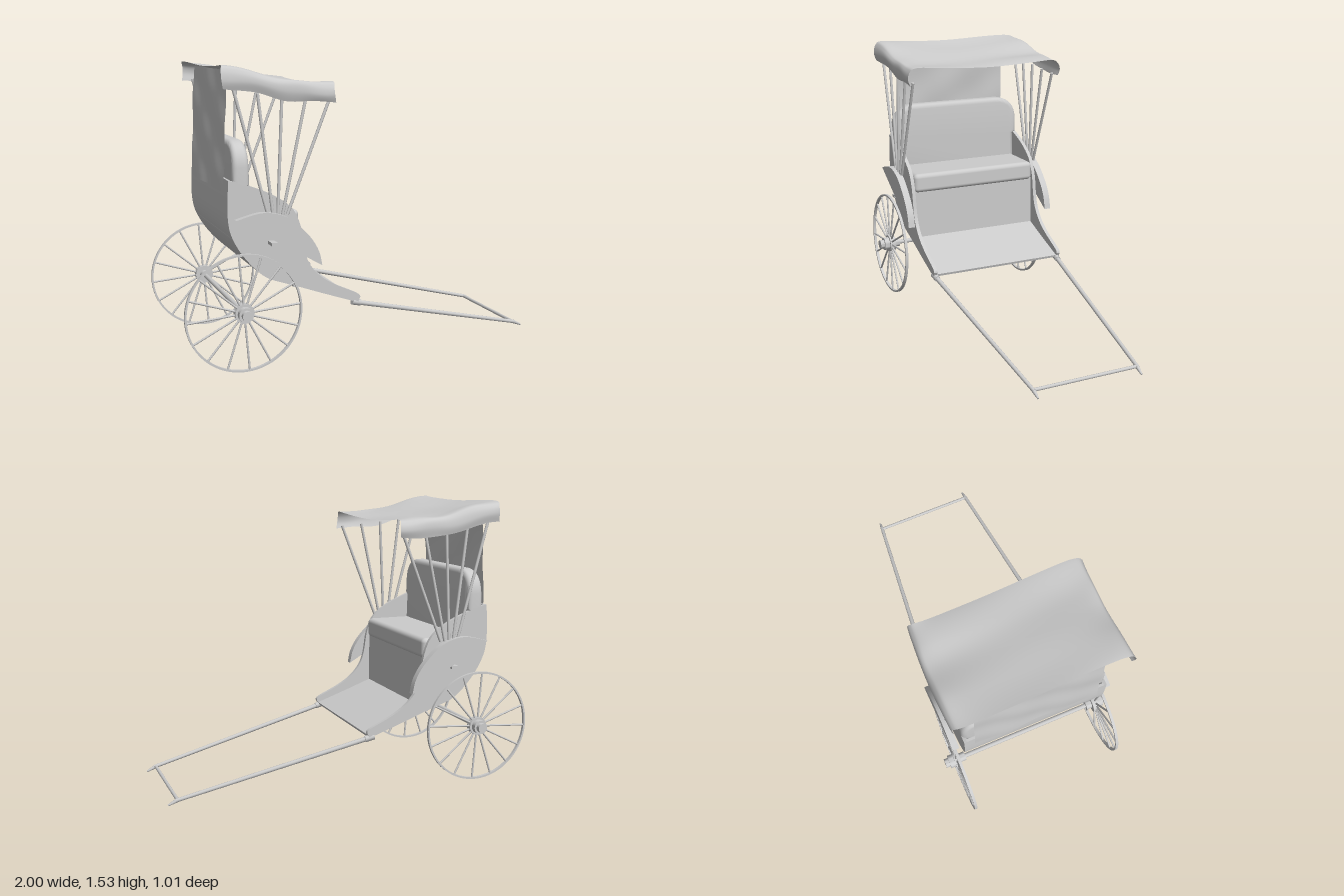
import * as THREE from 'three';
import { RoundedBoxGeometry } from 'three/addons/geometries/RoundedBoxGeometry.js';
import { toCreasedNormals } from 'three/addons/utils/BufferGeometryUtils.js';

const material = new THREE.MeshStandardMaterial({ color: 0xcccccc });
const cloth = new THREE.MeshStandardMaterial({ color: 0xcccccc, side: THREE.DoubleSide });
const V2 = (p) => new THREE.Vector2(p[0], p[1]);

export function createModel() {
  const model = new THREE.Group();
  model.name = 'rickshaw';

  const add = (name, geometry, parent = model, mat = material) => {
    const mesh = new THREE.Mesh(geometry, mat);
    mesh.name = name;
    parent.add(mesh);
    return mesh;
  };
  // Round bar between two points
  const bar = (name, a, b, r, parent = model, r2 = r) => {
    const p = new THREE.Vector3(...a), q = new THREE.Vector3(...b);
    const mesh = add(name, new THREE.CylinderGeometry(r2, r, p.distanceTo(q), 10), parent);
    mesh.position.copy(p).add(q).multiplyScalar(0.5);
    mesh.quaternion.setFromUnitVectors(new THREE.Vector3(0, 1, 0), q.sub(p).normalize());
    return mesh;
  };
  // Flat slab in the x-y plane, centred on z
  const slab = (name, shape, thickness, z, parent = model) => {
    const geometry = new THREE.ExtrudeGeometry(shape, { depth: thickness, bevelEnabled: false, curveSegments: 48 });
    geometry.translate(0, 0, z - thickness / 2);
    return add(name, toCreasedNormals(geometry, 0.6), parent);
  };

  // Underside and front edge curves shared by the side panels and the floor
  const under = new THREE.SplineCurve([[-0.757, 0.97], [-0.762, 0.87], [-0.762, 0.77], [-0.745, 0.69], [-0.70, 0.605],
    [-0.64, 0.53], [-0.57, 0.468], [-0.49, 0.435], [-0.41, 0.408], [-0.25, 0.35], [-0.07, 0.288]].map(V2)).getPoints(40);
  const upper = new THREE.SplineCurve([[-0.056, 0.315], [-0.075, 0.338], [-0.205, 0.40], [-0.285, 0.455], [-0.34, 0.523],
    [-0.365, 0.60], [-0.385, 0.72], [-0.43, 0.815], [-0.525, 0.885], [-0.645, 0.937], [-0.73, 0.965]].map(V2)).getPoints(40);
  const panelShape = new THREE.Shape([...under, ...upper]);

  // Floor and back skin follow the underside
  const inner = under.map((p, i) => {
    const t = under[Math.min(i + 1, 40)].clone().sub(under[Math.max(i - 1, 0)]).normalize();
    return new THREE.Vector2(p.x - t.y * 0.014, p.y + t.x * 0.014);
  });
  slab('floorAndBack', new THREE.Shape([...under, ...inner.reverse()]), 0.77, 0);

  // Seat
  const seatFront = add('seatFront', new THREE.BoxGeometry(0.02, 0.3, 0.77));
  seatFront.position.set(-0.41, 0.55, 0);
  const seatBase = add('seatBase', new THREE.BoxGeometry(0.34, 0.02, 0.77));
  seatBase.position.set(-0.57, 0.685, 0);
  const cushion = add('seatCushion', new RoundedBoxGeometry(0.31, 0.11, 0.76, 4, 0.025));
  cushion.position.set(-0.54, 0.745, 0);

  // Backrest with rounded top corners, narrower between the side panels
  const rest = new THREE.Shape();
  rest.moveTo(-0.355, 0.75);
  rest.lineTo(0.355, 0.75);
  rest.lineTo(0.355, 0.94);
  rest.lineTo(0.375, 0.955);
  rest.lineTo(0.375, 1.03);
  rest.quadraticCurveTo(0.37, 1.135, 0.26, 1.135);
  rest.lineTo(-0.26, 1.135);
  rest.quadraticCurveTo(-0.37, 1.135, -0.375, 1.03);
  rest.lineTo(-0.375, 0.955);
  rest.lineTo(-0.355, 0.94);
  const restGeometry = new THREE.ExtrudeGeometry(rest, {
    depth: 0.04, bevelSize: 0.025, bevelThickness: 0.025, bevelSegments: 4, curveSegments: 12,
  });
  restGeometry.rotateY(Math.PI / 2).translate(-0.735, 0, 0);
  const rp = restGeometry.attributes.position;
  for (let i = 0; i < rp.count; i++) {
    // thinner towards the top
    rp.setX(i, -0.69 + (rp.getX(i) + 0.715) * (1 - 0.6 * (rp.getY(i) - 0.95)));
  }
  add('backrest', toCreasedNormals(restGeometry, 0.6));

  // Wheel parts
  const rimShape = new THREE.Shape().absarc(0, 0, 0.303, 0, Math.PI * 2);
  rimShape.holes.push(new THREE.Path().absarc(0, 0, 0.293, 0, Math.PI * 2, true));
  const hubProfile = [[0, -0.055], [0.026, -0.055], [0.026, -0.022], [0.05, -0.022], [0.05, 0.012], [0.038, 0.012],
    [0.038, 0.042], [0.026, 0.042], [0.026, 0.066], [0, 0.066]].map(V2);
  const fenderArc = new THREE.SplineCurve([[-0.29, 0.52], [-0.31, 0.60], [-0.365, 0.685], [-0.47, 0.778],
    [-0.595, 0.81], [-0.735, 0.78]].map(V2)).getPoints(30);

  for (const s of [1, -1]) {
    const side = new THREE.Group();
    side.name = s > 0 ? 'leftSide' : 'rightSide';
    model.add(side);

    slab('sidePanel', panelShape, 0.02, s * 0.39, side);
    slab('fender', new THREE.Shape(fenderArc), 0.038, s * 0.44, side);
    const bracket = add('fenderBracket', new THREE.BoxGeometry(0.035, 0.016, 0.07), side);
    bracket.position.set(-0.54, 0.648, s * 0.425);

    const wheel = new THREE.Group();
    wheel.name = 'wheel';
    wheel.position.set(-0.697, 0.304, s * 0.437);
    side.add(wheel);
    slab('rim', rimShape, 0.016, 0, wheel);
    for (let i = 0; i < 16; i++) {
      const a = (i + 0.2) * Math.PI / 8, c = Math.cos(a), d = Math.sin(a);
      bar('spoke', [c * 0.03, d * 0.03, 0], [c * 0.297, d * 0.297, 0], 0.0055, wheel);
    }
    const hub = add('hub', toCreasedNormals(new THREE.LatheGeometry(hubProfile, 24), 0.6), wheel);
    hub.rotation.x = s * Math.PI / 2;

    // Canopy poles fan out from the fender
    for (let i = 0; i < 5; i++) {
      bar('canopyPole', [-0.565 + i * 0.025, 0.79, s * 0.43],
        [-0.735 + i * 0.124, 1.43 - 0.035 * Math.sqrt(i), s * 0.43], 0.008, side);
    }

    // Pulling shaft with a socket and a downturned tip
    bar('shaftSocket', [-0.1, 0.292, s * 0.388], [-0.05, 0.28, s * 0.384], 0.017, side);
    bar('shaft', [-0.09, 0.289, s * 0.387], [0.955, 0.037, s * 0.295], 0.013, side, 0.01);
    bar('shaftTip', [0.945, 0.039, s * 0.295], [0.995, 0.016, s * 0.293], 0.011, side, 0.005);
  }

  bar('axle', [-0.697, 0.304, -0.44], [-0.697, 0.304, 0.44], 0.013);
  bar('crossbar', [0.945, 0.038, -0.295], [0.945, 0.038, 0.295], 0.009);

  // Canopy: a cross-section with drooping edges swept along x, gently rippled
  const section = new THREE.SplineCurve([[-0.455, -0.105], [-0.465, -0.06], [-0.455, -0.015], [-0.42, 0.004], [-0.3, 0],
    [0, -0.01], [0.3, 0], [0.42, 0.004], [0.455, -0.015], [0.465, -0.06], [0.455, -0.105]].map(V2));
  const ridge = new THREE.SplineCurve([[-0.79, 1.525], [-0.64, 1.5], [-0.48, 1.46], [-0.34, 1.445], [-0.215, 1.435]].map(V2));
  const canopy = new THREE.PlaneGeometry(1, 1, 40, 60);
  const cp = canopy.attributes.position;
  for (let i = 0; i < cp.count; i++) {
    const u = cp.getX(i) + 0.5, v = 0.5 - cp.getY(i);
    const r = ridge.getPoint(u), c = section.getPoint(v);
    const ripple = 0.006 * Math.sin(u * 11 + v * 5) * Math.cos(v * 14 - u * 3);
    const sway = -0.016 * Math.sin(u * Math.PI) * Math.abs(2 * v - 1);
    const endWave = 0.008 * Math.sin(v * 13) * Math.abs(2 * u - 1);
    cp.setXYZ(i, r.x + endWave, r.y + c.y * (1 - 0.12 * u) + ripple, c.x + sway);
  }
  canopy.computeVertexNormals();
  add('canopy', canopy, model, cloth);

  // Rear curtain hanging from the canopy behind the backrest
  const curtain = new THREE.PlaneGeometry(0.69, 0.6, 30, 30);
  curtain.rotateY(-Math.PI / 2);
  const kp = curtain.attributes.position;
  for (let i = 0; i < kp.count; i++) {
    const y = kp.getY(i) + 1.205, z = kp.getZ(i);
    kp.setXYZ(i, -0.772 + 0.05 * (y - 0.9) + 0.006 * Math.sin(z * 17 + y * 8) * Math.cos(y * 13 - z * 4), y, z);
  }
  curtain.computeVertexNormals();
  add('rearCurtain', curtain, model, cloth);

  return model;
}
